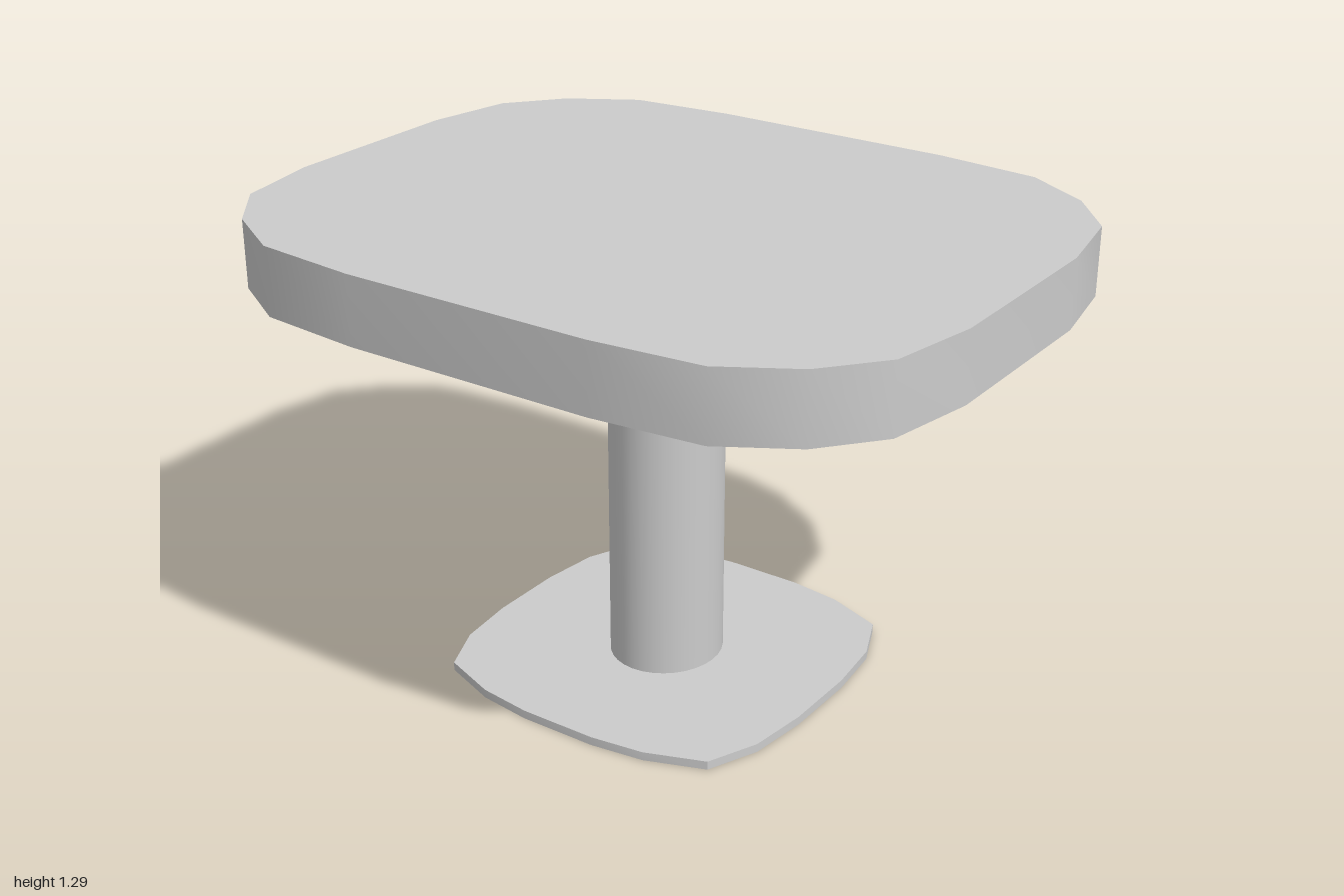
import * as THREE from 'three';
import { toCreasedNormals } from 'three/addons/utils/BufferGeometryUtils.js';

const material = new THREE.MeshStandardMaterial({ color: 0xcccccc });

// Horizontal slab: one quadrant of the outline, mirrored to all four, from y0 to y1
function slab(name, quadrant, y0, y1) {
  const reversed = [...quadrant].reverse();
  const outline = [
    ...quadrant,
    ...reversed.map(([x, z]) => [-x, z]),
    ...quadrant.map(([x, z]) => [-x, -z]),
    ...reversed.map(([x, z]) => [x, -z]),
  ].map(([x, z]) => new THREE.Vector2(x, z));
  const geometry = new THREE.ExtrudeGeometry(new THREE.Shape(outline), {
    depth: y1 - y0,
    bevelEnabled: false,
  });
  geometry.rotateX(-Math.PI / 2).translate(0, y0, 0);
  const mesh = new THREE.Mesh(toCreasedNormals(geometry, 0.75), material);
  mesh.name = name;
  return mesh;
}

export function createModel() {
  const table = new THREE.Group();
  table.name = 'pedestalTable';

  // Thick top with rounded corners
  table.add(slab('tableTop',
    [[1, 0.27], [0.955, 0.515], [0.83, 0.667], [0.645, 0.777], [0.35, 0.805]], 1.11, 1.295));

  // Thin foot plate with bowed sides
  table.add(slab('basePlate',
    [[0.5, 0.11], [0.48, 0.28], [0.42, 0.42], [0.26, 0.48], [0.11, 0.5]], 0, 0.024));

  // Slightly oval column
  const column = new THREE.Mesh(new THREE.CylinderGeometry(1, 1, 1.095, 32), material);
  column.geometry.scale(0.153, 1, 0.164).translate(0, 0.5675, 0);
  column.name = 'column';
  table.add(column);

  return table;
}
